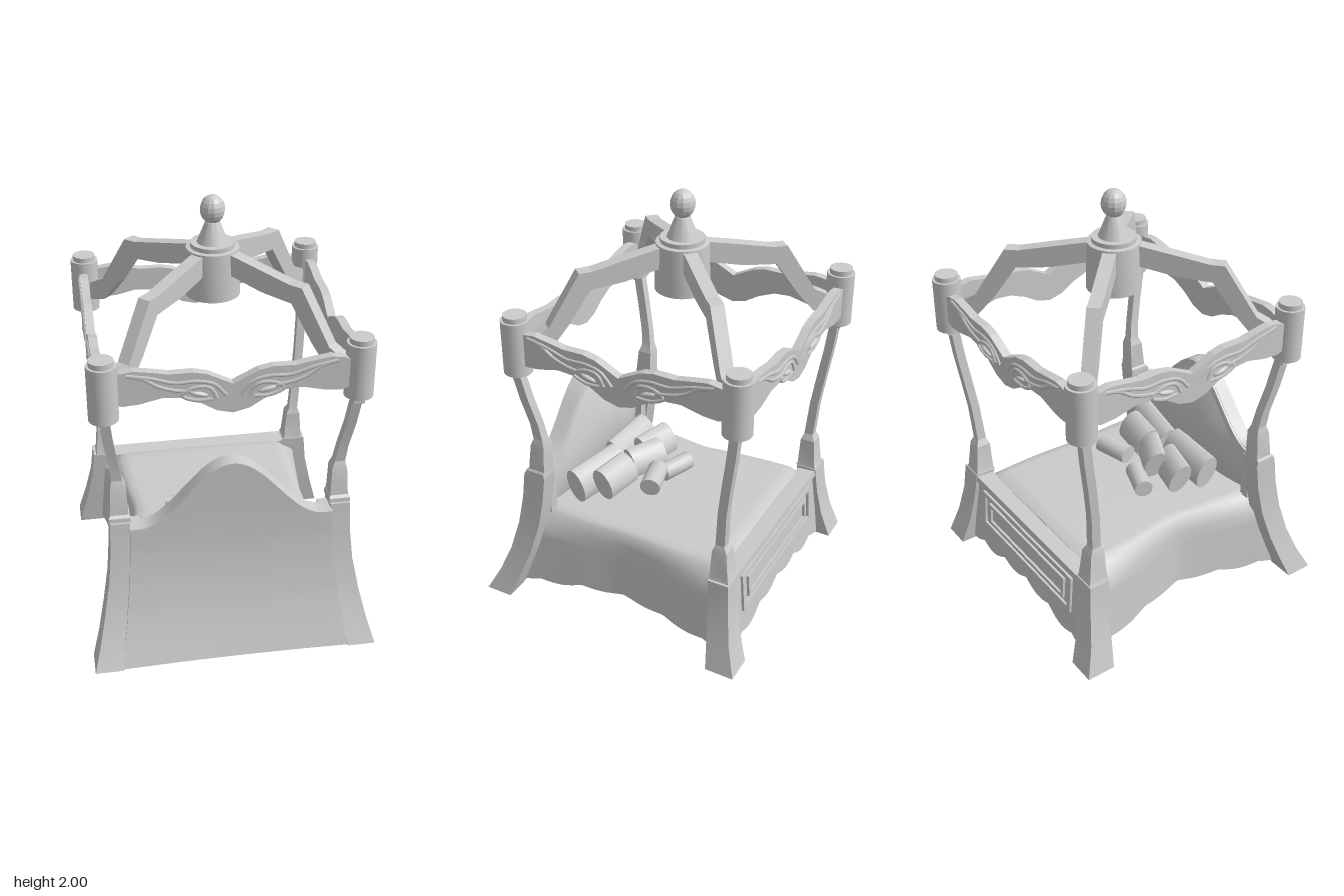
import * as THREE from 'three';
import { toCreasedNormals } from 'three/addons/utils/BufferGeometryUtils.js';

const mat = new THREE.MeshStandardMaterial({ color: 0xcccccc, side: THREE.DoubleSide });
const V = (x, y, z) => new THREE.Vector3(x, y, z);

function add(parent, name, geo, x = 0, y = 0, z = 0) {
  const m = new THREE.Mesh(geo, mat);
  m.name = name;
  m.position.set(x, y, z);
  parent.add(m);
  return m;
}

// Skin a row of equal-length closed loops; ladder caps on both ends, facing outward
function loft(loops, crease = 0.6) {
  const n = loops[0].length, pts = loops.flat(), tri = [];
  for (let i = 0; i < loops.length - 1; i++) for (let j = 0; j < n; j++) {
    const a = i * n + j, b = i * n + (j + 1) % n;
    tri.push([a, b, b + n], [a, b + n, a + n]);
  }
  const o = (loops.length - 1) * n;
  const cap = (a, b, c) => tri.push([a, c, b], [o + a, o + b, o + c]);
  for (let lo = 0, hi = n - 1; lo + 1 < hi; lo++, hi--) {
    cap(lo, lo + 1, hi);
    if (hi - 1 > lo + 1) cap(lo + 1, hi - 1, hi);
  }
  const vol = tri.reduce((s, [a, b, c]) => s + pts[a].dot(pts[b].clone().cross(pts[c])), 0);
  const g = new THREE.BufferGeometry().setFromPoints(pts);
  g.setIndex(tri.map(([a, b, c]) => (vol < 0 ? [a, c, b] : [a, b, c])).flat());
  return toCreasedNormals(g, crease);
}

const rect = (x0, x1, y, z0, z1) => [V(x0, y, z0), V(x1, y, z0), V(x1, y, z1), V(x0, y, z1)];

// Piecewise-linear lookup in [key, value] pairs with ascending keys
function lerpTable(t, k) {
  let i = 1;
  while (i < t.length - 1 && k > t[i][0]) i++;
  const [a, b] = [t[i - 1], t[i]];
  return a[1] + (b[1] - a[1]) * Math.min(1, Math.max(0, (k - a[0]) / (b[0] - a[0])));
}

const extrude = (shape, depth) => new THREE.ExtrudeGeometry(shape, { depth, bevelEnabled: false });
const shapeOf = (p) => new THREE.Shape(p.map(([x, y]) => new THREE.Vector2(x, y)));

// Canopy corners, and rails as [x, z, turn, length]
const corners = [[-0.55, 0.495], [0.557, 0.46], [0.557, -0.605], [-0.55, -0.605]];
const rails = [[0, 0.475, 0, 1.1], [0.565, -0.065, Math.PI / 2, 1.09], [0, -0.62, Math.PI, 1.1], [-0.56, -0.06, -Math.PI / 2, 1.1]];

// Flared leg rows: y, inner x, outer x, inner z, outer z
const headLeg = [[0, 0.53, 0.66, 0.54, 0.672], [0.12, 0.505, 0.625, 0.495, 0.61], [0.25, 0.485, 0.595, 0.45, 0.558],
  [0.4, 0.47, 0.567, 0.41, 0.52], [0.55, 0.462, 0.553, 0.385, 0.495], [0.69, 0.458, 0.548, 0.37, 0.48]];
const footLeg = [[0, 0.52, 0.655, -0.53, -0.668], [0.15, 0.495, 0.615, -0.515, -0.625],
  [0.3, 0.47, 0.58, -0.5, -0.602], [0.44, 0.45, 0.565, -0.49, -0.59]];
// Post rows: y, x, z, half width
const headPost = [[0.69, 0.503, 0.42, 0.05], [0.71, 0.503, 0.42, 0.048], [0.72, 0.503, 0.413, 0.041], [0.85, 0.502, 0.405, 0.035],
  [0.885, 0.505, 0.403, 0.024], [0.97, 0.515, 0.413, 0.022], [1.1, 0.535, 0.442, 0.022], [1.26, 0.55, 0.475, 0.022]];
const footPost = [[0.44, 0.503, -0.535, 0.05], [0.455, 0.503, -0.535, 0.045], [0.59, 0.503, -0.53, 0.035], [0.62, 0.505, -0.528, 0.022],
  [0.8, 0.52, -0.54, 0.021], [0.95, 0.533, -0.56, 0.021], [1.1, 0.543, -0.582, 0.021], [1.26, 0.55, -0.6, 0.021]];

function addCorner(g, [cx, cz]) {
  const s = Math.sign(cx), head = cz > 0;
  const leg = head ? headLeg : footLeg, post = head ? headPost : footPost;
  add(g, 'leg', loft(leg.map(([y, a, b, c, d]) => rect(s * a, s * b, y, c, d)), 0.3));
  add(g, 'post', loft(post.map(([y, x, z, h]) => rect(s * x - h, s * x + h, y, z - h, z + h)), 0.3));
  add(g, 'postCollar', new THREE.BoxGeometry(0.05, 0.03, 0.05), s * 0.552, 1.24, head ? 0.478 : cz);
  add(g, 'postCapital', new THREE.CylinderGeometry(0.065, 0.065, 0.255, 24), cx, 1.378, cz);
  add(g, 'postCap', new THREE.CylinderGeometry(0.053, 0.053, 0.025, 24), cx, 1.517, cz);
}

// Scalloped canopy rail with leaf carving on its outer face (+z)
function addRail(g, [x0, z0, turn, length]) {
  const rail = new THREE.Group();
  rail.name = 'canopyRail';
  rail.position.set(x0, 0, z0);
  rail.rotation.y = turn;
  rail.scale.x = length / 1.1;
  const half = [[0.05, 1.395], [0.11, 1.425], [0.17, 1.438], [0.27, 1.437], [0.35, 1.452], [0.42, 1.463], [0.48, 1.455], [0.53, 1.43],
    [0.53, 1.32], [0.47, 1.3], [0.4, 1.305], [0.3, 1.328], [0.22, 1.322], [0.14, 1.29], [0.07, 1.247]];
  const mirror = half.map(([x, y]) => [-x, y]).reverse();
  add(rail, 'railBoard', extrude(shapeOf([[0, 1.37], ...half, [0, 1.23], ...mirror]), 0.04), 0, 0, -0.02);
  const strands = [
    [[0.03, 1.32], [0.08, 1.375], [0.15, 1.395], [0.25, 1.395], [0.35, 1.425], [0.45, 1.445]],
    [[0.18, 1.35], [0.25, 1.36], [0.32, 1.385], [0.38, 1.425], [0.45, 1.445]],
    [[0.07, 1.31], [0.1, 1.36], [0.17, 1.365], [0.22, 1.335], [0.16, 1.305], [0.09, 1.305]],
  ];
  for (const s of [-1, 1]) {
    for (const p of strands) {
      const c = new THREE.CatmullRomCurve3(p.map(([x, y]) => V(s * x, y, 0.02)));
      add(rail, 'carvedStrand', new THREE.TubeGeometry(c, 20, 0.009, 5));
    }
    const leaf = add(rail, 'carvedLeaf', new THREE.SphereGeometry(1, 12, 8), s * 0.145, 1.333, 0.02);
    leaf.scale.set(0.04, 0.012, 0.014);
    leaf.rotation.z = s * 0.25;
  }
  g.add(rail);
}

function addCrown(g) {
  const cz = -0.06;
  const profile = [[0, 1.54], [0.125, 1.54], [0.12, 1.762], [0.1, 1.765], [0.1, 1.785], [0.07, 1.785], [0.032, 1.88], [0, 1.89]];
  const lathe = new THREE.LatheGeometry(profile.map(([x, y]) => new THREE.Vector2(x, y)), 28);
  add(g, 'crownHub', toCreasedNormals(lathe, 0.5), 0, 0, cz);
  add(g, 'crownFinial', toCreasedNormals(new THREE.SphereGeometry(0.056, 12, 10), 0.1), 0, 1.935, cz).scale.y = 1.16;
  // Bent braces from the hub to each corner
  const side = [[0.06, 1.755], [0.08, 1.755], [0.2, 1.72], [0.3, 1.69], [0.345, 1.688], [0.45, 1.45], [0.53, 1.39],
    [0.53, 1.31], [0.45, 1.34], [0.385, 1.45], [0.31, 1.605], [0.2, 1.62], [0.06, 1.665]];
  for (const [x, z] of corners) {
    const k = Math.hypot(x, z - cz) / 0.55;
    const m = add(g, 'crownBrace', extrude(shapeOf(side.map(([r, y]) => [r * k, y])), 0.06).translate(0, 0, -0.03), 0, 0, cz);
    m.rotation.y = Math.atan2(-(z - cz), x);
  }
}

// Arched headboard sweeping outward to the floor, with a padded inner face
function addHeadboard(g) {
  const crest = (x) => 0.67 + 0.305 * (Math.abs(x) < 0.42 ? 0.5 + 0.5 * Math.cos(Math.PI * x / 0.42) : 0);
  const outer = [[0, 0.664], [0.12, 0.615], [0.25, 0.57], [0.4, 0.535], [0.55, 0.514], [0.7, 0.506], [1, 0.505]];
  const width = [[0, 0.535], [0.2, 0.5], [0.4, 0.475], [0.6, 0.462], [1, 0.462]];
  const loops = [], trim = [];
  for (let i = 0; i <= 36; i++) {
    const u = i / 18 - 1, h = crest(u * 0.462), front = [], back = [];
    for (let j = 0; j <= 16; j++) {
      const y = h * j / 16, x = u * lerpTable(width, y), z = lerpTable(outer, y) - 0.01 * (1 - u * u) * (1 - j / 16);
      const pad = y > 0.3 ? 0.09 * (1 - Math.abs(u) ** 1.5) * Math.sin(Math.PI * (y - 0.3) / (h - 0.3)) : 0;
      front.push(V(x, y, z));
      back.unshift(V(x, y, z - Math.min(0.07, 0.045 + 0.1 * y) - pad));
    }
    loops.push([...front, ...back]);
    const x = u * 0.462;
    trim.push([V(x, h - 0.002, 0.47), V(x, h - 0.002, 0.425), V(x * 0.92, h - 0.07, 0.415), V(x * 0.92, h - 0.07, 0.47)]);
  }
  add(g, 'headboard', loft(loops));
  add(g, 'headboardArchTrim', loft(trim));
  for (const s of [-1, 1]) add(g, 'headboardSideTrim', new THREE.BoxGeometry(0.05, 0.24, 0.06), s * 0.437, 0.55, 0.43);
}

// Bedding edge on side s: pinched and slightly off-centre at the waist
const bedEdge = (z, s) => 0.43 + 0.165 * (Math.hypot(z, 0.06) - 0.06) + s * 0.02 * Math.max(0, 1 - 2.2 * Math.abs(z));
const hem = (t, depth) => 0.064 + 0.025 * Math.cos(t * 5.5) - depth * Math.abs(Math.sin(t * 14));

function addBedding(g) {
  // Soft mattress with shoulders sloping more toward the ends
  const loops = [];
  for (let i = 0; i <= 24; i++) {
    const z = -0.505 + 0.955 * i / 24, y = i === 0 ? 0.425 : 0.44, slope = 0.006 + 0.22 * z * z;
    const half = (s) => [[0.012, 0.29], [0.006, 0.36], [-slope, y - 0.022], [-slope - 0.02, y - 0.004], [-slope - 0.06, y]]
      .map(([d, h]) => V(s * (bedEdge(z, s) + d), h, z));
    loops.push([...half(1), V(0, y + 0.005, z), ...half(-1).reverse()]);
  }
  add(g, 'mattress', loft(loops, 0.9));
  // Hanging skirts with scalloped hems, spreading to meet the flared legs
  for (const s of [-1, 1]) {
    const skirt = new THREE.PlaneGeometry(1, 1, 64, 4), p = skirt.attributes.position;
    for (let i = 0; i < p.count; i++) {
      const u = 0.5 - s * p.getX(i), t = 0.5 - p.getY(i);
      const z = (-0.5 - 0.03 * t) * (1 - u) + (0.45 + 0.08 * t) * u;
      p.setXYZ(i, s * (bedEdge(z, s) + 0.012 + 0.018 * t), 0.3 + (hem(z, 0.018) - 0.3) * t, z);
    }
    skirt.computeVertexNormals();
    add(g, 'sideSkirt', skirt);
  }
}

function frame(w, h, t) {
  const r = (a, b) => [[-a, -b], [a, -b], [a, b], [-a, b]];
  const s = shapeOf(r(w / 2, h / 2));
  s.holes.push(shapeOf(r(w / 2 - t, h / 2 - t)));
  return extrude(s, 0.012);
}

// Footboard with nested mouldings and a scalloped lower edge; local +z faces outward
function addFootboard(g) {
  const foot = new THREE.Group();
  foot.name = 'footboard';
  foot.position.set(0, 0.43, -0.572);
  foot.rotation.set(-0.07, Math.PI, 0, 'YXZ');
  const edge = [[-0.46, 0], [0.46, 0]];
  for (let i = 0; i <= 60; i++) {
    const x = 0.51 - 1.02 * i / 60;
    edge.push([x, hem(x * 1.1, 0.03) - 0.42]);
  }
  add(foot, 'footPanel', extrude(shapeOf(edge), 0.03), 0, 0, -0.03);
  add(foot, 'outerMoulding', frame(0.8, 0.2, 0.025), 0, -0.155, 0);
  add(foot, 'innerMoulding', frame(0.68, 0.115, 0.018), 0, -0.155, 0);
  add(foot, 'topLedge', new THREE.BoxGeometry(0.92, 0.03, 0.09), 0, -0.015, -0.03);
  g.add(foot);
}

function addPillows(g) {
  // x, y, z, length, half height, half depth, turn, lean
  const list = [
    [-0.13, 0.52, 0.30, 0.30, 0.085, 0.05, -0.05, 0.5], [0.18, 0.52, 0.31, 0.31, 0.085, 0.05, -0.2, 0.5],
    [-0.16, 0.53, 0.17, 0.2, 0.08, 0.045, -0.25, 0.6], [-0.02, 0.54, 0.15, 0.19, 0.075, 0.045, -0.45, 0.6],
    [0.175, 0.53, 0.21, 0.2, 0.08, 0.05, -0.15, 0.6],
    [-0.09, 0.485, 0.02, 0.17, 0.045, 0.045, -0.35, 0], [0.12, 0.545, 0.025, 0.17, 0.045, 0.05, 0.25, 0],
  ];
  for (const [x, y, z, len, h, d, turn, lean] of list) {
    const geo = new THREE.CylinderGeometry(1, 1, len, 14).rotateZ(Math.PI / 2).scale(1, h, d).rotateX(lean);
    add(g, len < 0.18 ? 'bolster' : 'pillow', toCreasedNormals(geo, 0.6), x, y, z).rotation.y = turn;
  }
}

export function createModel() {
  const g = new THREE.Group();
  g.name = 'canopyBed';
  corners.forEach((c) => addCorner(g, c));
  rails.forEach((r) => addRail(g, r));
  addCrown(g);
  addHeadboard(g);
  addBedding(g);
  addFootboard(g);
  addPillows(g);
  return g;
}
